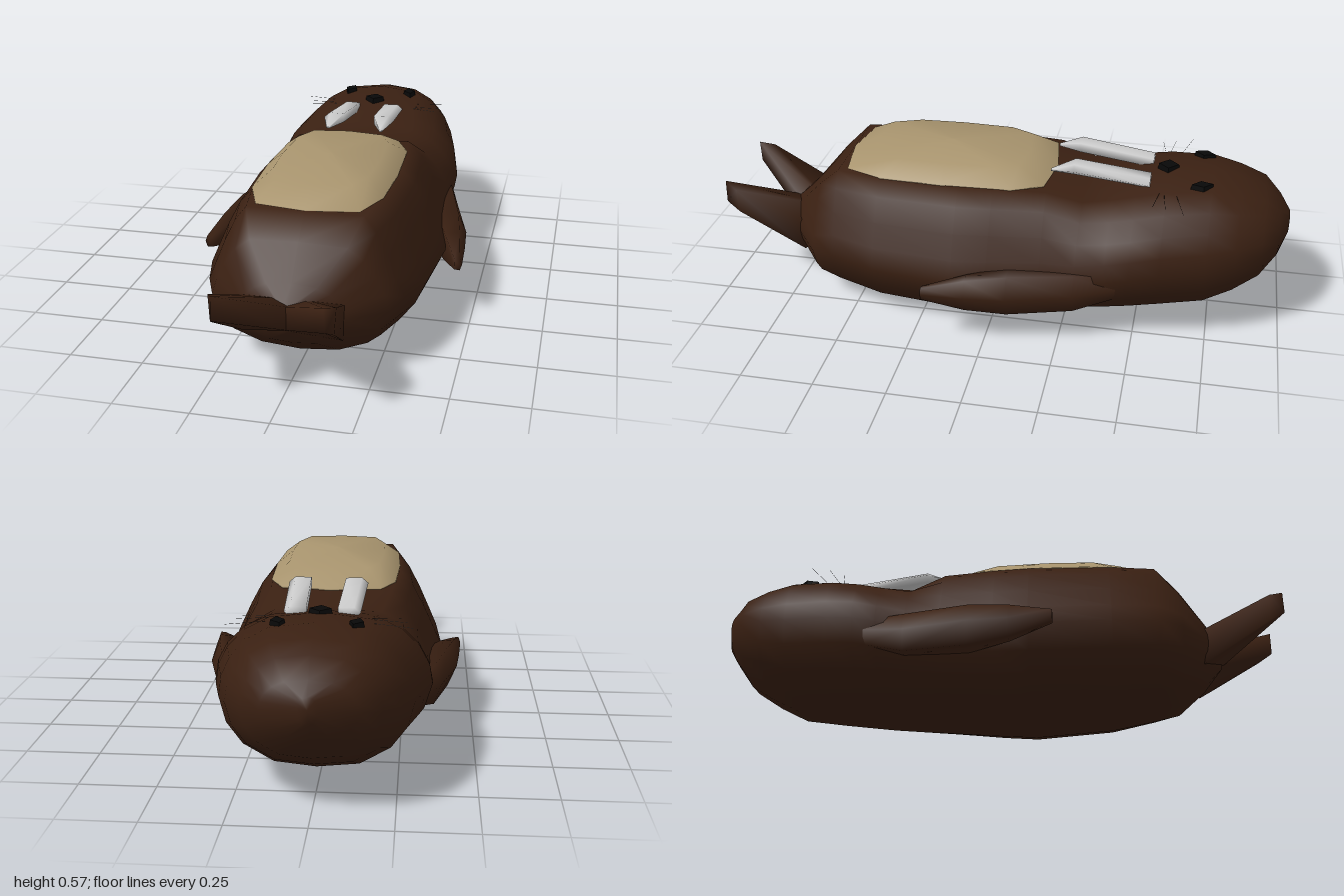
import * as THREE from 'three';
import { mergeVertices } from 'three/addons/utils/BufferGeometryUtils.js';
import { ConvexGeometry } from 'three/addons/geometries/ConvexGeometry.js';

const mat = (color, extra = {}) => new THREE.MeshStandardMaterial({ color, ...extra });
const lerp = THREE.MathUtils.lerp;

// Skin a list of equal-length rings of [x, y, z], closed with a fan at both ends
function loft(rings, side = 1) {
  const n = rings[0].length, pos = [], idx = [];
  const add = (p) => pos.push(p[0] * side, p[1], p[2]) / 3 - 1;
  const tri = (a, b, c) => (side > 0 ? idx.push(a, b, c) : idx.push(a, c, b));
  const centre = (r) => [0, 1, 2].map((k) => r.reduce((s, p) => s + p[k], 0) / n);
  rings.forEach((r) => r.forEach(add));
  const last = (rings.length - 1) * n;
  const c0 = add(centre(rings[0])), c1 = add(centre(rings[rings.length - 1]));
  for (let i = 0; i < n; i++) {
    const j = (i + 1) % n;
    for (let o = 0; o < last; o += n) {
      tri(o + i, o + j, o + n + j);
      tri(o + i, o + n + j, o + n + i);
    }
    tri(c0, j, i);
    tri(c1, last + i, last + j);
  }
  const g = new THREE.BufferGeometry();
  g.setAttribute('position', new THREE.Float32BufferAttribute(pos, 3));
  g.setIndex(idx);
  g.computeVertexNormals();
  return g;
}

// Convex hull with smooth normals
function smoothHull(points) {
  const hull = new ConvexGeometry(points);
  hull.deleteAttribute('normal');
  const g = mergeVertices(hull);
  g.computeVertexNormals();
  return g;
}

// Half cross-sections, bottom to top: share of half-width, share of height
const TORSO = [[0, 0], [0.44, 0.03], [0.76, 0.11], [0.9, 0.25], [1, 0.42], [0.92, 0.56], [0.82, 0.73], [0.71, 0.89], [0.59, 1], [0, 1]];
const HEAD = [[0, 0], [0.44, 0.03], [0.76, 0.15], [0.93, 0.3], [1, 0.48], [0.97, 0.62], [0.88, 0.75], [0.72, 0.87], [0.48, 0.96], [0, 1]];

// z, half-width, bottom, top, blend from torso to head section
const BODY = [
  [-1, 0.03, 0.32, 0.40, 1], [-0.965, 0.145, 0.26, 0.44, 1], [-0.91, 0.21, 0.18, 0.495, 1],
  [-0.825, 0.265, 0.125, 0.52, 1], [-0.73, 0.3, 0.077, 0.54, 1], [-0.58, 0.335, 0.06, 0.53, 1],
  [-0.48, 0.354, 0.05, 0.51, 1], [-0.4, 0.355, 0.04, 0.49, 0.9], [-0.3, 0.352, 0.03, 0.47, 0.7],
  [-0.18, 0.36, 0.02, 0.5, 0.15], [0, 0.38, 0.007, 0.5, 0], [0.12, 0.392, 0, 0.5, 0],
  [0.4, 0.37, 0.015, 0.5, 0], [0.56, 0.325, 0.04, 0.5, 0], [0.64, 0.29, 0.055, 0.43, 0.4],
  [0.73, 0.17, 0.125, 0.33, 1], [0.79, 0.03, 0.19, 0.275, 1],
];

function bodyRing([z, w, y0, y1, t]) {
  const half = TORSO.map(([x, y], i) => [w * lerp(x, HEAD[i][0], t), lerp(y0, y1, lerp(y, HEAD[i][1], t)), z]);
  const other = half.slice(1, -1).reverse().map(([x, y]) => [-x, y, z]);
  return [...half, ...other];
}

// Flat-backed ring across z, pointed on its outer edge
const bladeRing = ([z, x0, x1, y0, y1]) => {
  const m = (y0 + y1) / 2, a = lerp(x0, x1, 0.72);
  return [[x1, m, z], [a, y1, z], [x0, lerp(m, y1, 0.9), z], [x0, lerp(m, y0, 0.9), z], [a, y0, z]];
};

export function createModel() {
  const group = new THREE.Group();
  const fur = mat(0x3a2012), bellyFur = mat(0xa8946e);
  const ivory = mat(0xe4e4e4), black = mat(0x080808, { flatShading: true });
  const add = (name, geo, material) => {
    const m = new THREE.Mesh(geo, material);
    m.name = name;
    group.add(m);
    return m;
  };
  // Small flat diamond lying on the face
  const diamond = (name, x, y, z, rx, rz, turn) => {
    const m = add(name, new THREE.CylinderGeometry(0.85, 1, 0.03, 4), black);
    m.scale.set(rx, 1, rz);
    m.position.set(x, y, z);
    m.rotation.y = turn;
  };

  add('body', loft(BODY.map(bodyRing)), fur);

  // Domed pale belly
  const half = [[0, 0.557], [0.17, 0.53], [0.22, 0.4], [0.23, 0.18], [0.22, -0.06], [0.17, -0.165], [0, -0.19]];
  const outline = [...half, ...half.slice(1, -1).reverse().map(([x, z]) => [-x, z])];
  const bellyRing = (s, y) => outline.map(([x, z]) => [x * s, y, 0.19 + (z - 0.19) * s]);
  add('belly', loft([bellyRing(1, 0.495), bellyRing(1, 0.503), bellyRing(0.74, 0.553), bellyRing(0.02, 0.567)]), bellyFur);

  for (const s of [1, -1]) {
    const sideName = s > 0 ? 'left' : 'right';

    // Front flipper lying along the flank
    add(sideName + 'Flipper', loft([
      [-0.44, 0.28, 0.345, 0.18, 0.27], [-0.3, 0.3, 0.385, 0.135, 0.272], [-0.08, 0.33, 0.442, 0.125, 0.272],
      [0.06, 0.38, 0.454, 0.14, 0.255], [0.205, 0.435, 0.462, 0.178, 0.222],
    ].map(bladeRing), s), fur);

    // Tail fluke, slanting upward to its tip
    const fluke = [
      [0, 0.285, 0.8], [0, 0.205, 0.8], [0.165, 0.4, 1], [0.17, 0.32, 1], [0.192, 0.38, 0.95],
      [0.185, 0.29, 0.95], [0.165, 0.27, 0.72], [0.16, 0.145, 0.72], [0, 0.24, 0.65], [0, 0.16, 0.65],
    ];
    add(sideName + 'Fluke', smoothHull(fluke.map(([x, y, z]) => new THREE.Vector3(x * s, y, z))), fur);

    // Tusk
    add(sideName + 'Tusk', loft([
      [-0.52, 0.05, 0.122, 0.495, 0.53], [-0.26, 0.058, 0.133, 0.527, 0.563], [-0.18, 0.095, 0.107, 0.527, 0.535],
    ].map(bladeRing), s), ivory);

    diamond(sideName + 'Eye', 0.12 * s, 0.522, -0.695, 0.026, 0.042, 0.25 * s);

    // Whiskers
    for (const [x0, z0, x1, z1] of [[0.13, -0.605, 0.29, -0.645], [0.15, -0.57, 0.27, -0.585], [0.13, -0.56, 0.25, -0.54]]) {
      const path = new THREE.LineCurve3(new THREE.Vector3(x0 * s, 0.508, z0), new THREE.Vector3(x1 * s, 0.503, z1));
      add(sideName + 'Whisker', new THREE.TubeGeometry(path, 1, 0.0006, 3), black);
    }
  }

  diamond('nose', 0, 0.527, -0.575, 0.04, 0.04, 0);

  return group;
}
